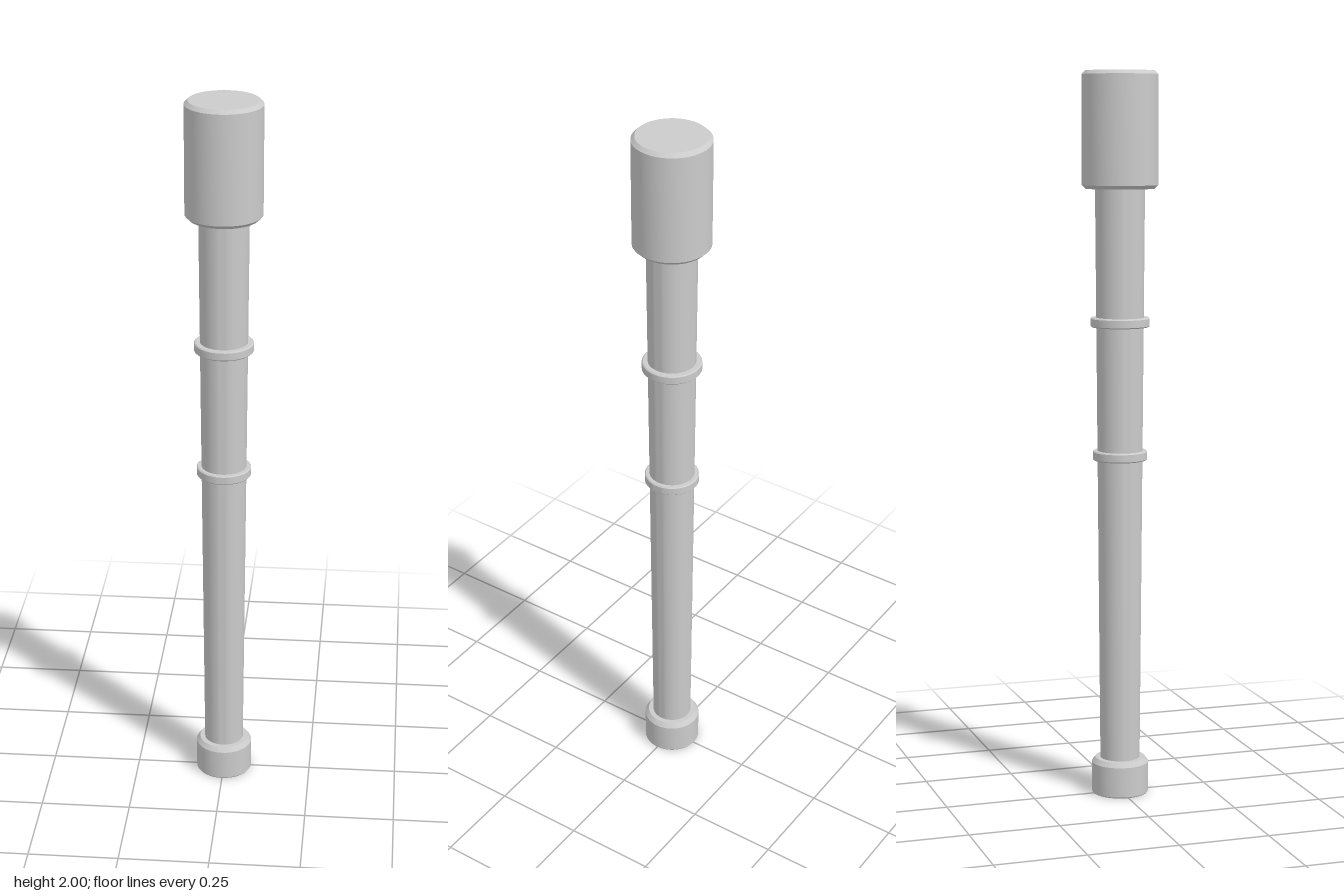
import * as THREE from 'three';
import { toCreasedNormals } from 'three/addons/utils/BufferGeometryUtils.js';

const SEGMENTS = 48;

export function createModel() {
  const group = new THREE.Group();
  const material = new THREE.MeshStandardMaterial({ color: 0xcccccc });

  // Turned part from [radius, height] points, listed bottom to top
  function turned(name, points) {
    const profile = points.map(([r, y]) => new THREE.Vector2(r, y));
    const geometry = toCreasedNormals(new THREE.LatheGeometry(profile, SEGMENTS), 0.5);
    const mesh = new THREE.Mesh(geometry, material);
    mesh.name = name;
    group.add(mesh);
  }

  // Narrow collar with a slight bevel on both rims
  function collar(name, radius, bottom, top) {
    const b = 0.003;
    turned(name, [
      [0.05, bottom], [radius - b, bottom], [radius, bottom + b],
      [radius, top - b], [radius - b, top], [0.05, top],
    ]);
  }

  // End cap at the foot, bevelled on its upper rim
  turned('pommel', [[0, 0], [0.077, 0], [0.079, 0.003], [0.079, 0.087], [0.069, 0.1], [0, 0.1]]);

  // Slender shaft, widening gently upwards
  turned('shaft', [[0, 0.09], [0.055, 0.09], [0.068, 1.7], [0, 1.7]]);

  // Raised rings around the shaft
  collar('lowerRing', 0.075, 0.942, 0.968);
  collar('upperRing', 0.081, 1.309, 1.335);

  // Heavy cylindrical head with bevelled rims
  turned('head', [
    [0, 1.684], [0.094, 1.684], [0.104, 1.694],
    [0.104, 1.99], [0.094, 2], [0, 2],
  ]);

  return group;
}
